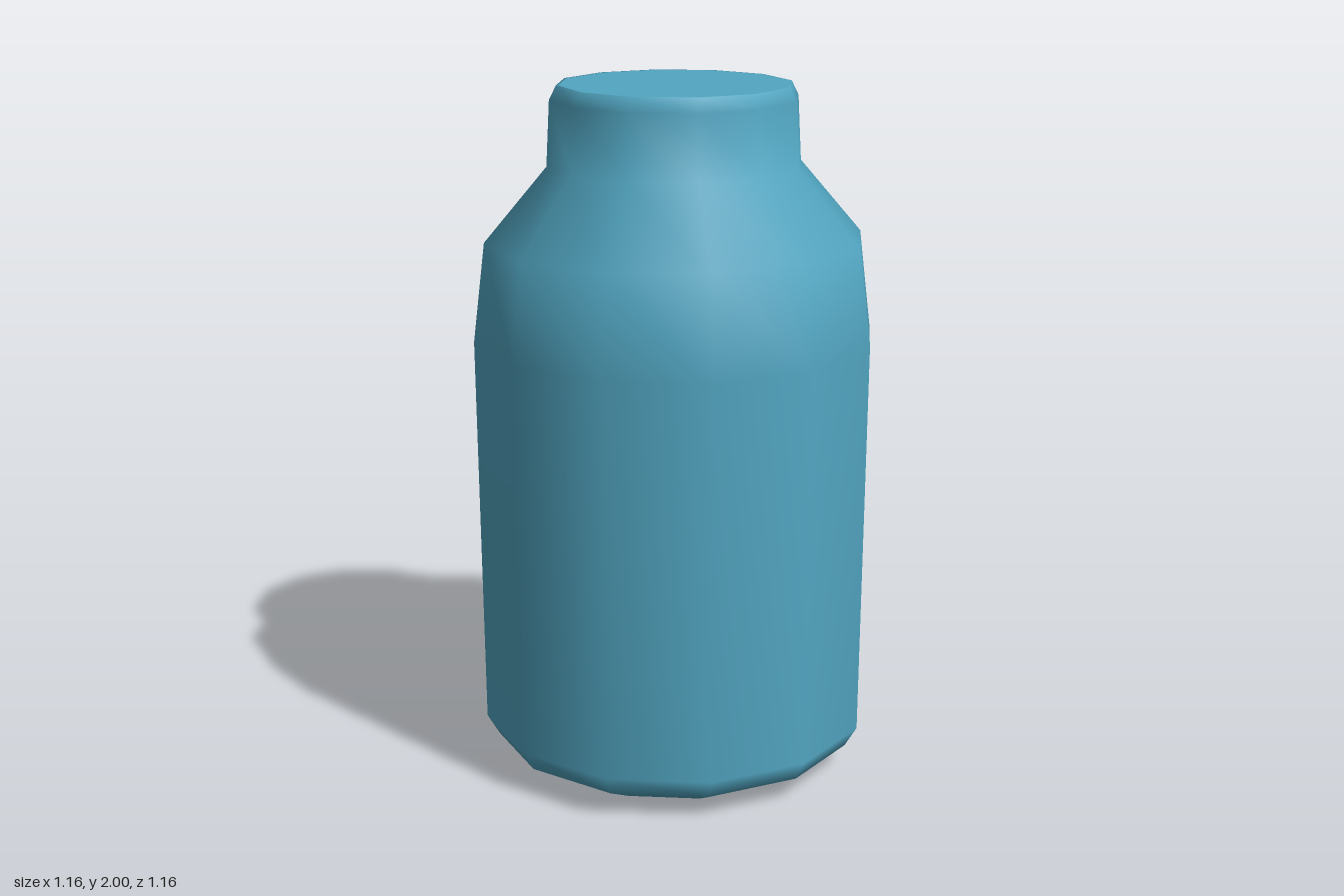
import * as THREE from 'three';

export function createModel() {
  const model = new THREE.Group();
  model.name = 'bottle';

  const blue = new THREE.MeshStandardMaterial({ color: 0x52a6c2 });
  blue.name = 'blue';

  // Closed profile (radius, height), from the centre of the base to the centre of the lid
  const profile = [
    [0, 0], [0.4, 0],                    // base
    [0.535, 0.07], [0.57, 0.13],         // bevelled foot
    [0.58, 1.28],                        // wall
    [0.545, 1.565], [0.365, 1.775],      // shoulder
    [0.355, 1.96], [0.335, 2],           // neck and rim
    [0.325, 2], [0, 2],                  // flat lid
  ].map(([r, y]) => new THREE.Vector2(r, y));

  // Twelve-sided turned body with smooth normals
  const body = new THREE.Mesh(new THREE.LatheGeometry(profile, 12), blue);
  body.name = 'bottleBody';
  model.add(body);

  return model;
}
